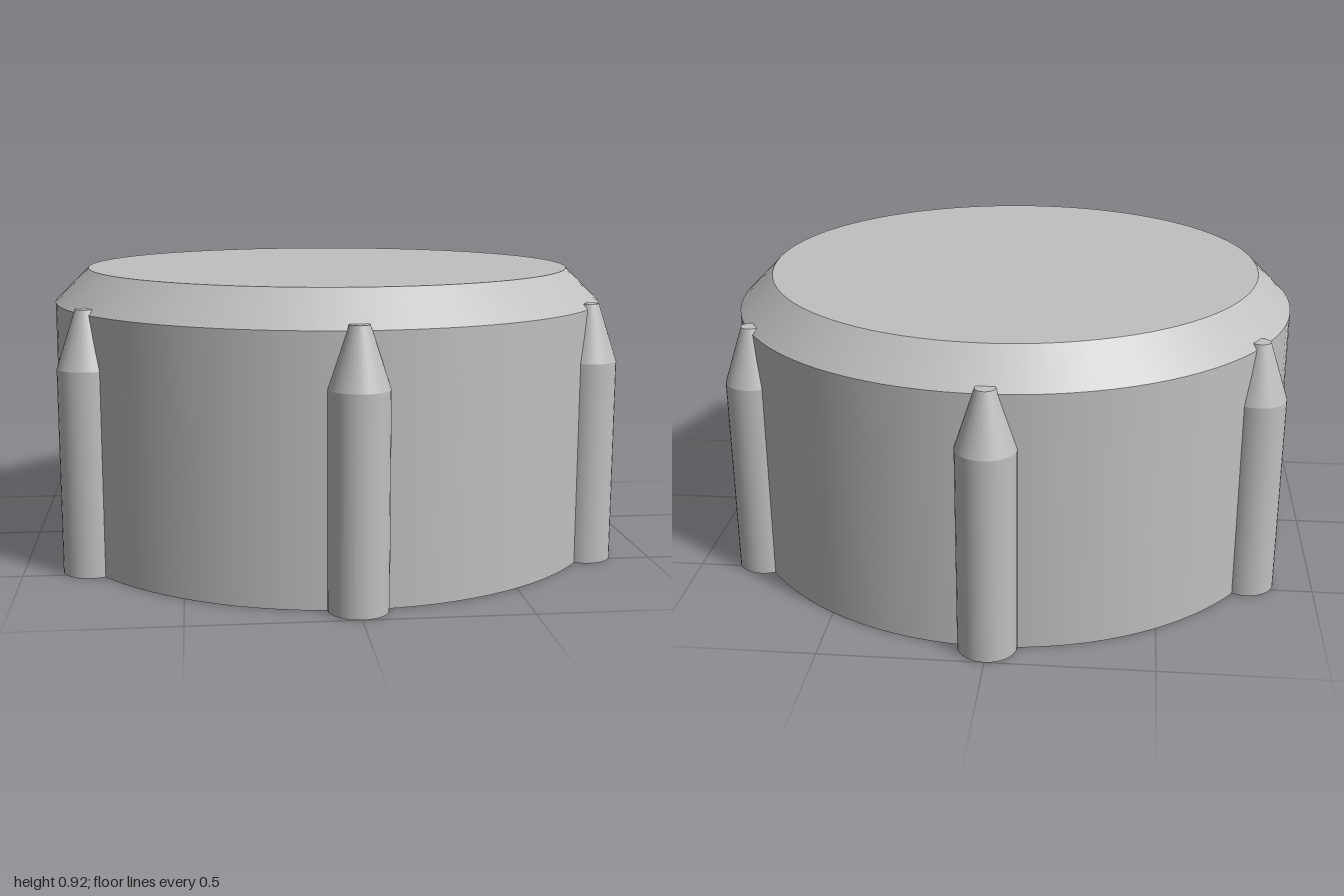
import * as THREE from 'three';
import { mergeGeometries } from 'three/addons/utils/BufferGeometryUtils.js';

// Revolve each profile segment on its own, so the edges between them stay sharp
function revolve(profile, segments) {
  const bands = [];
  for (let i = 0; i < profile.length - 1; i++) {
    const pair = [profile[i], profile[i + 1]].map(([r, y]) => new THREE.Vector2(r, y));
    bands.push(new THREE.LatheGeometry(pair, segments));
  }
  return mergeGeometries(bands);
}

export function createModel() {
  const group = new THREE.Group();
  group.name = 'knob';
  const grey = new THREE.MeshStandardMaterial({ color: 0xc0c0c0 });
  grey.name = 'grey';

  // Bevelled body with a blind shaft hole in its underside
  const body = new THREE.Mesh(revolve([
    [0, 0.6], [0.21, 0.6], [0.229, 0.6], [0.229, 0],
    [0.915, 0], [0.915, 0.81], [0.805, 0.92], [0, 0.92],
  ], 96), grey);
  body.name = 'body';
  group.add(body);

  // Six grip ribs with tapered, blunt tips, half sunk in the rim
  const ribGeometry = revolve([
    [0, 0], [0.09, 0], [0.09, 0.645], [0.03, 0.827], [0, 0.827],
  ], 32);
  for (let i = 0; i < 6; i++) {
    const angle = (i * Math.PI) / 3;
    const rib = new THREE.Mesh(ribGeometry, grey);
    rib.name = `gripRib${i + 1}`;
    rib.position.set(0.91 * Math.sin(angle), 0, 0.91 * Math.cos(angle));
    rib.rotation.y = angle;
    group.add(rib);
  }
  return group;
}
